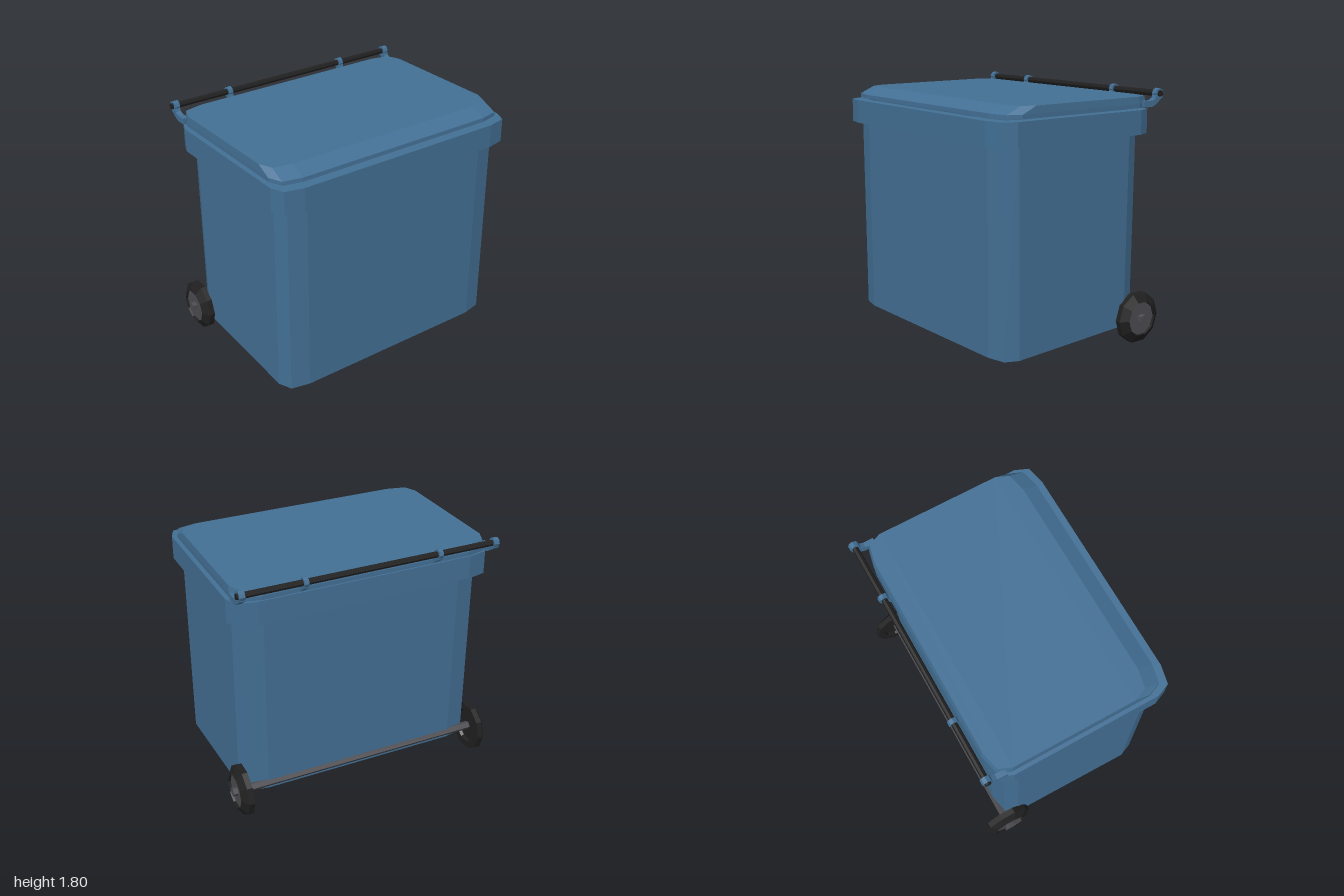
import * as THREE from 'three';

const blue = new THREE.MeshStandardMaterial({ color: 0x437095 });
blue.name = 'blue plastic';
const black = new THREE.MeshStandardMaterial({ color: 0x202020 });
black.name = 'black rubber';
const grey = new THREE.MeshStandardMaterial({ color: 0x4c4b51 });
grey.name = 'grey metal';

// Flat-shaded mesh: every face keeps its own normal
function part(name, geometry, material) {
  const g = geometry.index ? geometry.toNonIndexed() : geometry;
  g.computeVertexNormals();
  const mesh = new THREE.Mesh(g, material);
  mesh.name = name;
  return mesh;
}

// Rectangle with two-step corners; height(z) gives y. Right side front to back, then mirrored
function ring(w, front, back, height) {
  const y = typeof height === 'function' ? height : () => height;
  const side = [
    [w - 0.175, front], [w - 0.04, front - 0.03], [w, front - 0.125],
    [w, back + 0.125], [w - 0.04, back + 0.03], [w - 0.175, back],
  ];
  const left = side.map(([x, z]) => [-x, z]).reverse();
  return [...side, ...left].map(([x, z]) => [x, y(z), z]);
}

// Skin through rings; ends closed with strips between mirrored points
function loft(rings, caps = true) {
  const pos = [];
  const quad = (a, b, c, d) => pos.push(...a, ...b, ...c, ...a, ...c, ...d);
  const n = rings[0].length;
  for (let r = 0; r + 1 < rings.length; r++) {
    for (let i = 0; i < n; i++) {
      const j = (i + 1) % n;
      quad(rings[r][i], rings[r][j], rings[r + 1][j], rings[r + 1][i]);
    }
  }
  if (caps) {
    const s = rings[0], e = rings[rings.length - 1];
    for (let i = 0; i < n / 2 - 1; i++) {
      quad(s[i], s[n - 1 - i], s[n - 2 - i], s[i + 1]);
      quad(e[i], e[i + 1], e[n - 2 - i], e[n - 1 - i]);
    }
  }
  const g = new THREE.BufferGeometry();
  g.setAttribute('position', new THREE.Float32BufferAttribute(pos, 3));
  return g;
}

// Rod lying along x
function rod(radius, length, sides) {
  return new THREE.CylinderGeometry(radius, radius, length, sides).rotateZ(-Math.PI / 2);
}

const BAR = { y: 1.766, z: -0.674 };

// Curved bracket ending in an eye around the handle bar
function bracket(name, x, width, startZ) {
  const group = new THREE.Group();
  group.name = name;
  const profile = [
    [startZ, 1.677], [-0.605, 1.677], [-0.63, 1.686], [-0.7, 1.735],
    [-0.7, 1.766], [-0.645, 1.766], [-0.635, 1.735], [-0.605, 1.72], [startZ, 1.72],
  ];
  const shape = new THREE.Shape(profile.map(([z, y]) => new THREE.Vector2(z, y)));
  const arm = new THREE.ExtrudeGeometry(shape, { depth: width, bevelEnabled: false });
  arm.rotateY(-Math.PI / 2).translate(width / 2, 0, 0);
  const eye = part('bracketEye', rod(0.036, width, 8), blue);
  eye.position.set(0, BAR.y, BAR.z);
  group.add(part('bracketArm', arm, blue), eye);
  group.position.x = x;
  return group;
}

// Ten-sided wheel facing +x, recessed on both sides
function wheel(name) {
  const group = new THREE.Group();
  group.name = name;
  const lathe = (pts) => new THREE.LatheGeometry(pts.map(([r, x]) => new THREE.Vector2(r, x)), 10)
    .rotateZ(-Math.PI / 2);
  const tyre = lathe([[0.001, 0.925], [0.12, 0.925], [0.13, 0.903], [0.186, 0.903],
    [0.186, 0.945], [0.125, 0.983], [0.123, 0.965]]);
  const disc = lathe([[0.123, 0.965], [0.001, 0.965]]);
  group.add(part('tyre', tyre, black), part('wheelDisc', disc, grey));
  return group;
}

export function createModel() {
  const model = new THREE.Group();
  model.name = 'wheeledBin';

  // Hollow body with a floor rising towards the back
  const floor = (z) => 0.077 + Math.max(0, 0.53 - z) * 0.057;
  model.add(part('body', loft([
    ring(0.907, 0.653, -0.542, floor),
    ring(0.907, 0.66, -0.556, 1.6),
    ring(0.88, 0.633, -0.529, 1.6),
    ring(0.88, 0.628, -0.517, (z) => floor(z) + 0.03),
  ]), blue));

  // Rim collar
  const rimBottom = ring(0.96, 0.715, -0.612, 1.495);
  model.add(part('rim', loft([
    rimBottom,
    ring(0.96, 0.715, -0.612, 1.664),
    ring(0.88, 0.633, -0.529, 1.664),
    ring(0.88, 0.633, -0.529, 1.495),
    rimBottom,
  ], false), blue));

  // Lid with a sloping front edge
  model.add(part('lid', loft([
    ring(0.935, 0.658, -0.62, 1.675),
    ring(0.935, 0.656, -0.62, 1.703),
    ring(0.932, 0.543, -0.607, 1.753),
  ]), blue));

  // Handle bar and its brackets
  const bar = part('handleBar', rod(0.022, 1.914, 8), black);
  bar.position.set(0, BAR.y, BAR.z);
  model.add(bar);
  for (const [side, s] of [['left', 1], ['right', -1]]) {
    model.add(bracket(side + 'OuterBracket', s * 0.925, 0.04, -0.53));
    model.add(bracket(side + 'InnerBracket', s * 0.49, 0.033, -0.59));
  }

  // Axle and wheels
  const running = new THREE.Group();
  running.name = 'wheelsAndAxle';
  const leftWheel = wheel('leftWheel');
  const rightWheel = wheel('rightWheel');
  rightWheel.rotation.y = Math.PI;
  running.add(part('axle', rod(0.033, 2, 5).rotateX(Math.PI), grey), leftWheel, rightWheel);
  running.position.set(0, 0.178, -0.528);
  model.add(running);

  return model;
}
